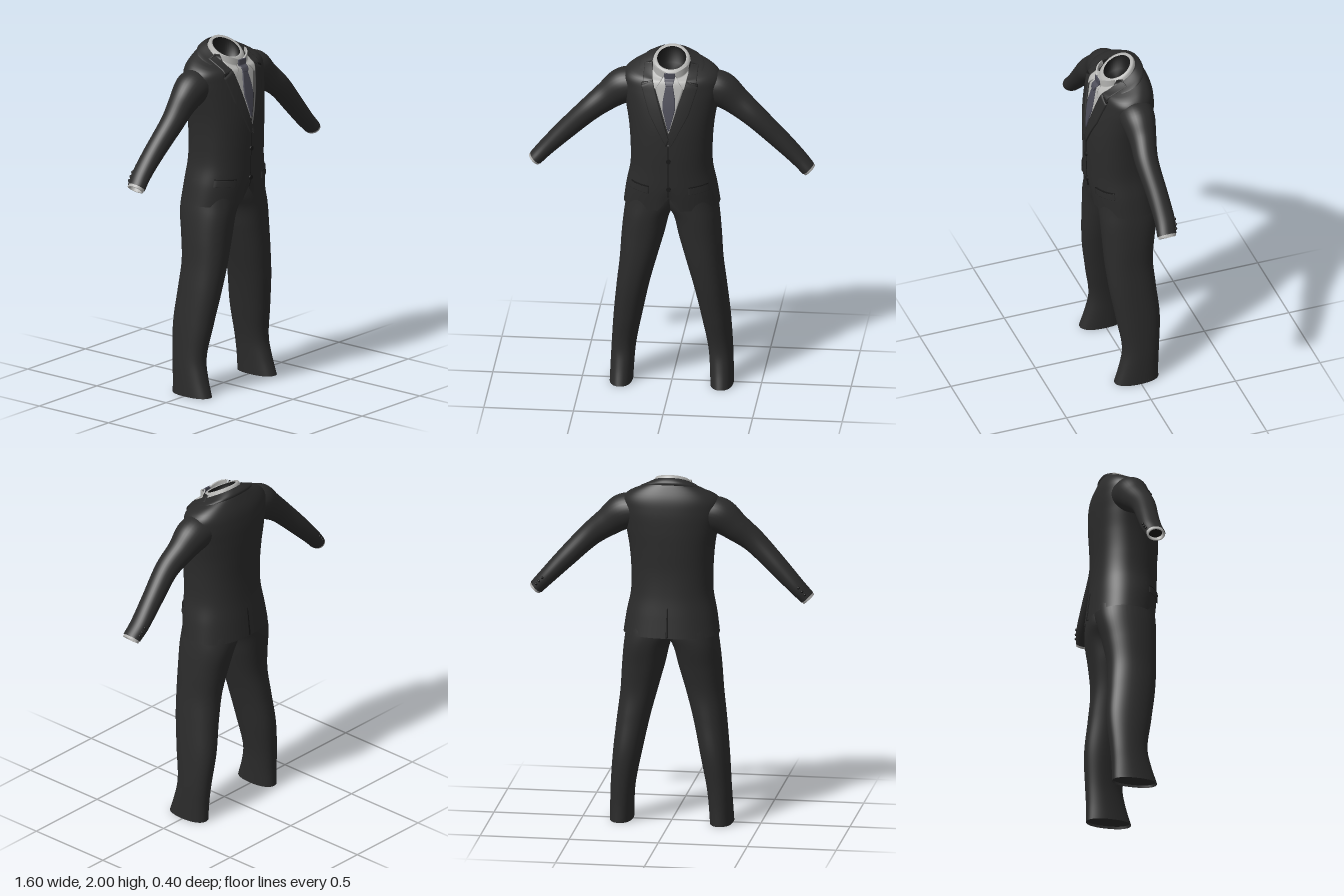
import * as THREE from 'three';
import { mergeVertices } from 'three/addons/utils/BufferGeometryUtils.js';

const mat = (name, color) => {
  const m = new THREE.MeshStandardMaterial({ color, side: THREE.DoubleSide });
  m.name = name;
  return m;
};

// Smooth lookup in a table whose first column is the ascending key
function table(rows) {
  const size = rows[0].length - 1;
  const it = new THREE.CubicInterpolant(rows.map(r => r[0]), rows.flatMap(r => r.slice(1)), size, new Float32Array(size));
  return k => Array.from(it.evaluate(k));
}

// Surface from fn(u, v) -> [x, y, z], u and v in 0..1
function grid(fn, nu, nv) {
  const pos = [], idx = [];
  for (let j = 0; j <= nv; j++) for (let i = 0; i <= nu; i++) pos.push(...fn(i / nu, j / nv));
  for (let j = 0; j < nv; j++) for (let i = 0; i < nu; i++) {
    const a = j * (nu + 1) + i, b = a + 1, c = a + nu + 1, d = c + 1;
    idx.push(a, c, b, b, c, d);
  }
  const g = new THREE.BufferGeometry();
  g.setAttribute('position', new THREE.Float32BufferAttribute(pos, 3));
  g.setIndex(idx);
  const m = mergeVertices(g, 1e-5);
  m.computeVertexNormals();
  return m;
}

const N = 2.3; // roundness of body cross-sections
const pw = c => Math.sign(c) * Math.abs(c) ** (2 / N);
const lerp = THREE.MathUtils.lerp;

// Jacket body: height, half width, front z, back z, tilt towards the front
const TOP = 1.94, HEM = 1.09;
const body = table([
  [1.09, .268, .178, -.19, 0], [1.2, .252, .19, -.178, 0], [1.32, .229, .195, -.165, 0],
  [1.45, .228, .198, -.16, 0], [1.58, .238, .194, -.164, 0], [1.7, .258, .178, -.167, 0],
  [1.8, .274, .158, -.163, .04], [1.86, .266, .145, -.15, .12], [1.9, .215, .135, -.125, .28],
  [1.925, .14, .127, -.103, .46], [1.94, .105, .12, -.08, .57],
]);
function bodyPoint(k, th, off = 0) {
  const [w, zf, zb, s] = body(k), m = (zf + zb) / 2;
  const z = m + ((zf - zb) / 2 + off) * pw(Math.sin(th));
  return [(w + off) * pw(Math.cos(th)), k - s * z, z];
}
// Depth of the jacket surface at x, y; side 1 is the front, -1 the back
function bodyZ(x, y, side = 1) {
  let lo = HEM, hi = TOP, z = 0;
  for (let i = 0; i < 30; i++) {
    const k = (lo + hi) / 2, [w, zf, zb, s] = body(k);
    const u = Math.min(1, Math.abs(x) / w);
    z = (zf + zb) / 2 + side * (zf - zb) / 2 * (1 - u ** N) ** (1 / N);
    if (k - s * z < y) lo = k; else hi = k;
  }
  return z;
}

// Point along a polyline of [x, y] pairs
function along(pts, v) {
  const f = Math.min(v * (pts.length - 1), pts.length - 1 - 1e-9), i = Math.floor(f);
  return [lerp(pts[i][0], pts[i + 1][0], f - i), lerp(pts[i][1], pts[i + 1][1], f - i)];
}
// Thin panel lying on the jacket between two edges, with its rim tucked in
function panel(edgeA, edgeB, off, side = 1) {
  const nu = 14, nv = 30;
  return grid((u, v) => {
    const rim = u === 0 || u === 1 || v === 0 || v === 1;
    const su = THREE.MathUtils.clamp((u * nu - 1) / (nu - 2), 0, 1);
    const sv = THREE.MathUtils.clamp((v * nv - 1) / (nv - 2), 0, 1);
    const a = along(edgeA, sv), b = along(edgeB, sv);
    const x = lerp(a[0], b[0], su), y = lerp(a[1], b[1], su);
    return [x, y, bodyZ(x, y, side) + side * (rim ? off - .009 : off)];
  }, nu, nv);
}
const flip = (pts, s) => pts.map(([x, y]) => [x * s, y]);

// Sleeve: step, centre x y z, half thickness, half depth
const sleeve = table([
  [0, .18, 1.79, -.01, .085, .1], [1, .27, 1.765, -.008, .1, .097], [2, .36, 1.7, -.003, .081, .077],
  [3, .465, 1.615, .012, .066, .066], [4, .6, 1.48, 0, .056, .06], [5, .7, 1.375, -.006, .047, .058],
  [6, .76, 1.31, .002, .042, .055],
]);
function sleevePoint(t, th, scale = 1, reach = 0) {
  const [x, y, z, r, d] = sleeve(t);
  const a = sleeve(Math.max(0, t - .05)), b = sleeve(Math.min(6, t + .05));
  const dx = b[0] - a[0], dy = b[1] - a[1], l = Math.hypot(dx, dy);
  const c = Math.cos(th) * r * scale;
  return [x - dy / l * c + dx / l * reach, y + dx / l * c + dy / l * reach, z + Math.sin(th) * d * scale];
}

// Trouser leg: height, inner x, outer x, front z, back z
const leg = table([
  [0, .217, .345, .135, -.12], [.1, .212, .342, .103, -.121], [.2, .203, .338, .083, -.127],
  [.4, .165, .325, .11, -.14], [.6, .122, .305, .14, -.126], [.75, .082, .288, .153, -.119],
  [.9, .04, .278, .158, -.138], [1.03, .005, .265, .163, -.163], [1.1, -.04, .254, .164, -.168],
  [1.2, -.06, .235, .163, -.155],
]);
function legPoint(y, th, scale = 1) {
  const [a, b, zf, zb] = leg(y);
  return [(a + b) / 2 + (b - a) / 2 * pw(Math.cos(th)) * scale, y, (zf + zb) / 2 + (zf - zb) / 2 * pw(Math.sin(th)) * scale];
}

export function createModel() {
  const root = new THREE.Group();
  root.name = 'suit';
  const cloth = mat('charcoal cloth', 0x2b2b2b), dark = mat('dark trim', 0x191919);
  const shirt = mat('pale shirt', 0xb2b2b0), silk = mat('grey tie', 0x4c4c58);
  const add = (name, geo, material) => {
    const m = new THREE.Mesh(geo, material);
    m.name = name;
    root.add(m);
    return m;
  };
  const TAU = Math.PI * 2;
  const ang = u => (u === 1 ? 0 : u * TAU);

  // Jacket body with a small cutaway at the front hem
  add('jacketBody', grid((u, v) => {
    const p = bodyPoint(lerp(HEM, TOP, v), ang(u));
    if (p[2] > 0) p[1] += .08 * Math.max(0, 1 - Math.abs(p[0]) / .06) * Math.max(0, 1 - v * 6);
    return p;
  }, 96, 70), cloth);

  // Jacket collar wrapped round the back of the neck
  add('jacketCollar', grid((u, v) => {
    const th = lerp(Math.PI * .9, Math.PI * 2.1, u);
    return bodyPoint(lerp(1.912, TOP, v), th, v === 0 ? 0 : .008);
  }, 40, 6), cloth);

  // Shirt front, tie blade and knot
  add('shirtFront', panel([[-.1, 1.885], [-.05, 1.73], [-.002, 1.57]], [[.1, 1.885], [.05, 1.73], [.002, 1.57]], .003), shirt);
  const blade = [[.018, 1.85], [.034, 1.76], [.036, 1.71], [.004, 1.585]];
  add('tieBlade', panel(flip(blade, -1), blade, .009), silk);
  const knot = [[.03, 1.905], [.031, 1.885], [.019, 1.838]];
  add('tieKnot', panel(flip(knot, -1), knot, .018), silk);

  // Shirt collar band with a rolled rim, sloping down to the front
  const rings = [[.109, .104, .02, 1.93, .57], [.104, .097, .02, 1.95, .56], [.094, .086, .018, 1.965, .54], [.081, .073, .018, 1.961, .54]];
  const neck = ([rx, rz, cz, y, s], th) => {
    const z = cz + rz * Math.sin(th);
    return [rx * Math.cos(th), y - s * z, z];
  };
  add('shirtCollarBand', grid((u, v) => neck(rings[Math.round(v * 3)], ang(u)), 48, 3), shirt);
  const inside = [rings[3], [.082, .075, .018, 1.87, .4], [.001, .001, .018, 1.86, 0]];
  add('neckLining', grid((u, v) => neck(inside[Math.round(v * 2)], ang(u)), 48, 2), dark);

  for (const s of [-1, 1]) {
    const side = s > 0 ? 'left' : 'right';
    // Collar points and lapels
    add(side + 'CollarPoint', panel(flip([[.02, 1.905], [.045, 1.865], [.078, 1.822]], s), flip([[.098, 1.94], [.1, 1.89], [.082, 1.82]], s), .012), shirt);
    add(side + 'UpperLapel', panel(flip([[.103, 1.94], [.093, 1.862]], s), flip([[.15, 1.917], [.15, 1.85]], s), .011), cloth);
    add(side + 'Lapel', panel(flip([[.093, 1.86], [.048, 1.7], [-.002, 1.53]], s),
      flip([[.158, 1.828], [.112, 1.68], [.012, 1.49]], s), .011), cloth);
    add(side + 'LapelNotch', panel(flip([[.12, 1.856], [.12, 1.852]], s), flip([[.158, 1.845], [.158, 1.833]], s), .0125), dark);
    // Hip pocket flap and its seam
    add(side + 'PocketFlap', panel(flip([[.11, 1.235], [.112, 1.195]], s), flip([[.215, 1.243], [.222, 1.205]], s), .007), cloth);
    add(side + 'PocketSeam', panel(flip([[.11, 1.241], [.11, 1.235]], s), flip([[.215, 1.249], [.215, 1.243]], s), .008), dark);

    // Sleeve, shirt cuff and dark opening
    const arm = new THREE.Group();
    arm.name = side + 'Arm';
    arm.scale.x = s;
    const part = (name, geo, material) => {
      const m = new THREE.Mesh(geo, material);
      m.name = name;
      arm.add(m);
      return m;
    };
    part('sleeve', grid((u, v) => sleevePoint(v * 6, ang(u)), 32, 48), cloth);
    const cuff = [[.9, -.02], [.93, .013], [.72, .013], [.7, -.03]];
    part('shirtCuff', grid((u, v) => sleevePoint(6, ang(u), ...cuff[Math.round(v * 3)]), 32, 3), shirt);
    part('cuffLining', grid((u, v) => sleevePoint(6, ang(u), .72 * (1 - v), -.012), 32, 1), dark);
    for (let i = 0; i < 3; i++) {
      const b = part('sleeveButton', new THREE.SphereGeometry(.008, 10, 8), dark);
      b.position.set(...sleevePoint(5.7 - i * .3, -1.2));
    }
    root.add(arm);

    // Trouser leg, closed just above the hem
    const trousers = new THREE.Group();
    trousers.name = side + 'TrouserLeg';
    trousers.scale.x = s;
    const tube = new THREE.Mesh(grid((u, v) => legPoint(v * 1.2, ang(u)), 48, 60), cloth);
    tube.name = 'leg';
    const cap = new THREE.Mesh(grid((u, v) => legPoint(.015, ang(u), v), 48, 1), cloth);
    cap.name = 'hemClosure';
    trousers.add(tube, cap);
    root.add(trousers);
  }

  // Front closing edge, back vent and two buttons
  add('frontEdge', panel([[-.004, 1.5], [-.006, 1.18]], [[0, 1.5], [-.001, 1.18]], .003), dark);
  add('backVent', panel([[-.003, 1.26], [-.006, 1.095]], [[.003, 1.26], [.006, 1.095]], .004, -1), dark);
  for (const y of [1.4, 1.23]) {
    const b = add('jacketButton', new THREE.CylinderGeometry(.013, .013, .009, 20), dark);
    b.rotation.x = Math.PI / 2;
    b.position.set(0, y, bodyZ(0, y) + .004);
  }
  return root;
}
